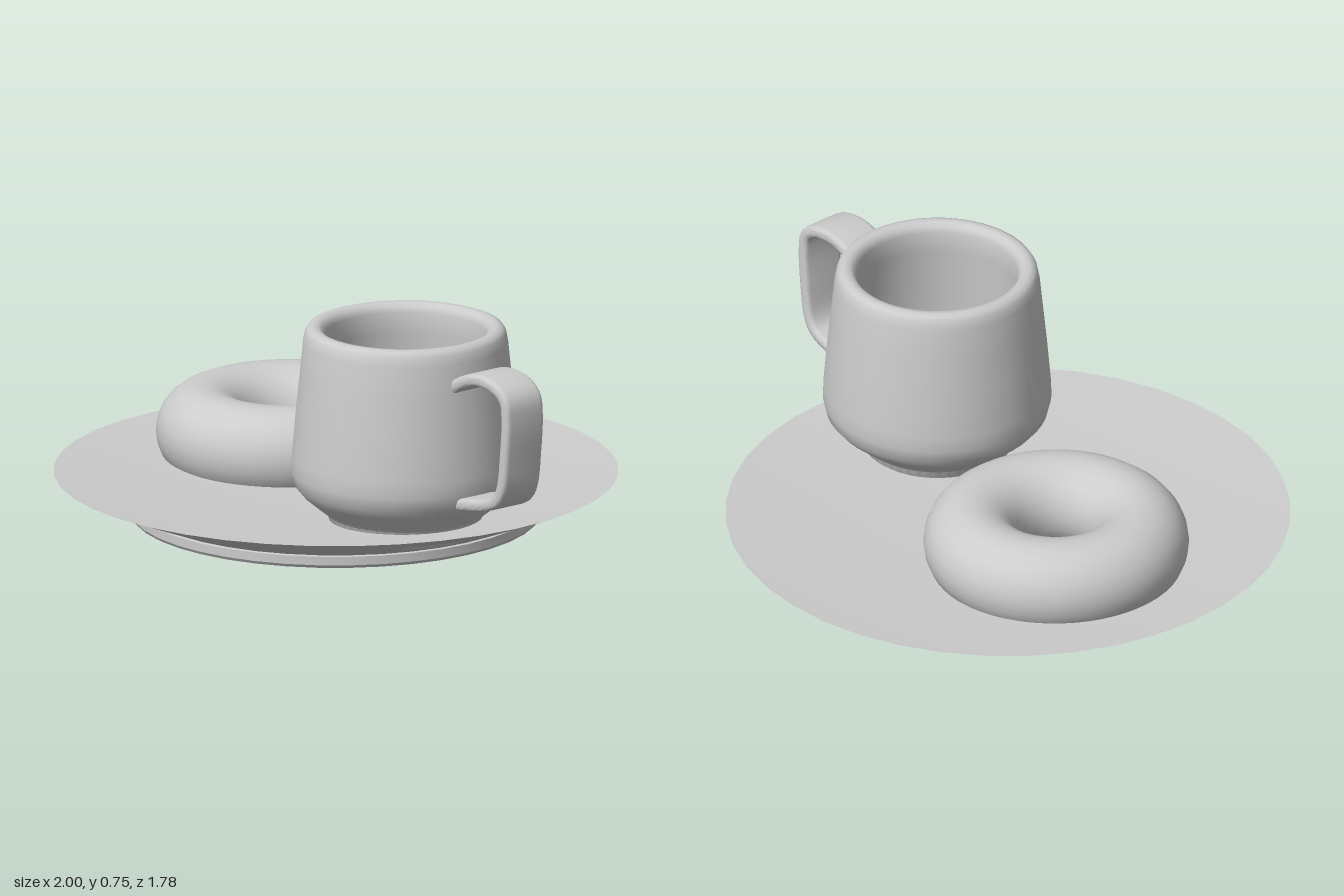
import * as THREE from 'three';
import { toCreasedNormals } from 'three/addons/utils/BufferGeometryUtils.js';

const V2 = (p) => new THREE.Vector2(p[0], p[1]);

export function createModel() {
  const group = new THREE.Group();
  const clay = new THREE.MeshStandardMaterial({ color: 0xcccccc });
  clay.name = 'plain grey';

  function add(name, geometry, x, y, z) {
    const mesh = new THREE.Mesh(geometry, clay);
    mesh.name = name;
    mesh.position.set(x, y, z);
    group.add(mesh);
    return mesh;
  }

  // Turned shape from a [radius, height] profile, running from the underside outwards and over the top
  function turned(profile, sides, crease) {
    return toCreasedNormals(new THREE.LatheGeometry(profile.map(V2), sides), crease);
  }

  // Plate with a recessed foot, flared underside and shallow dish
  const plate = [
    [0, 0.02], [0.625, 0.02], [0.63, 0], [0.643, 0], [0.65, 0.01], [0.65, 0.038],
    [0.64, 0.04], [0.89, 0.14], [0.87, 0.138], [0.4, 0.117], [0, 0.115],
  ];
  add('plate', turned(plate, 40, 0.35), -0.11, 0, 0);

  // Mug with a tapered base, rounded rim and hollow inside
  const mug = [
    [0, 0.08], [0.225, 0.08], [0.235, 0.09], [0.245, 0.14], [0.28, 0.168], [0.325, 0.206],
    [0.349, 0.235], [0.36, 0.28], [0.358, 0.33], [0.345, 0.48], [0.333, 0.6], [0.323, 0.7],
    [0.317, 0.73], [0.308, 0.744], [0.293, 0.75], [0.275, 0.748], [0.262, 0.738],
    [0.255, 0.72], [0.26, 0.65], [0.278, 0.45], [0.287, 0.32], [0.277, 0.27],
    [0.24, 0.22], [0.17, 0.165], [0.15, 0.157], [0, 0.155],
  ];
  add('mug', turned(mug, 48, 0.7), 0.405, 0, 0.145);

  // Handle: a flat strap with rounded edges swept along a loop
  const path = new THREE.CatmullRomCurve3([
    [0.70, 0.615], [0.77, 0.655], [0.84, 0.675], [0.925, 0.664], [0.97, 0.632], [0.98, 0.57],
    [0.972, 0.45], [0.955, 0.34], [0.93, 0.3], [0.87, 0.273], [0.78, 0.255], [0.70, 0.24],
  ].map(([x, y]) => new THREE.Vector3(x, y, 0)));
  const w = 0.076, t = 0.02, r = 0.017;
  const strap = new THREE.Shape();
  strap.moveTo(-w + r, -t);
  strap.lineTo(w - r, -t);
  strap.quadraticCurveTo(w, -t, w, -t + r);
  strap.lineTo(w, t - r);
  strap.quadraticCurveTo(w, t, w - r, t);
  strap.lineTo(-w + r, t);
  strap.quadraticCurveTo(-w, t, -w, t - r);
  strap.lineTo(-w, -t + r);
  strap.quadraticCurveTo(-w, -t, -w + r, -t);
  const handle = new THREE.ExtrudeGeometry(strap, { steps: 48, curveSegments: 4, extrudePath: path });
  add('mugHandle', toCreasedNormals(handle, 0.7), 0, 0, 0.147);

  // Ring doughnut resting in the dish
  const ring = new THREE.TorusGeometry(0.27, 0.148, 24, 56);
  ring.rotateX(Math.PI / 2);
  add('doughnut', ring, -0.415, 0.197, -0.06);

  return group;
}
